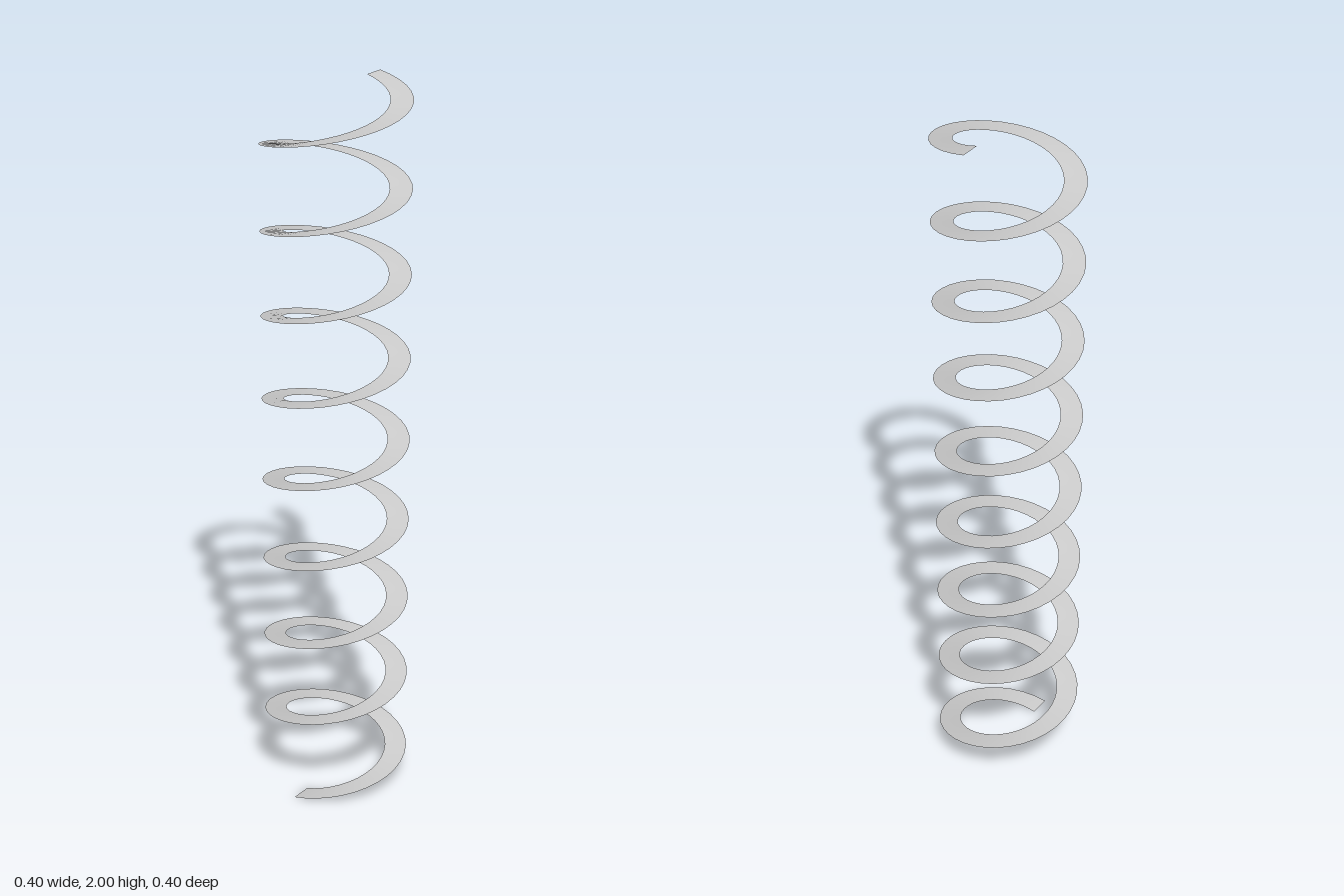
import * as THREE from 'three';

const HEIGHT = 2;
const TURNS = 8.5;
const INNER = 0.14;
const OUTER = 0.2;
const START = THREE.MathUtils.degToRad(-145.5);
const SEGMENTS = 300;

// Bends a flat strip into a helix: its length climbs, its width stays radial
function helicalRibbon() {
  const geometry = new THREE.PlaneGeometry(1, 1, SEGMENTS, 1);
  const pos = geometry.attributes.position;
  for (let i = 0; i < pos.count; i++) {
    const t = pos.getX(i) + 0.5;
    const radius = THREE.MathUtils.lerp(OUTER, INNER, pos.getY(i) + 0.5);
    const angle = START + t * TURNS * Math.PI * 2;
    pos.setXYZ(i, radius * Math.cos(angle), t * HEIGHT, -radius * Math.sin(angle));
  }
  geometry.computeVertexNormals();
  return geometry;
}

export function createModel() {
  const model = new THREE.Group();
  model.name = 'spiral';

  // Thin flat coil, visible from above and below
  const material = new THREE.MeshStandardMaterial({ color: 0xcccccc, side: THREE.DoubleSide });
  const coil = new THREE.Mesh(helicalRibbon(), material);
  coil.name = 'coilRibbon';
  model.add(coil);

  return model;
}
